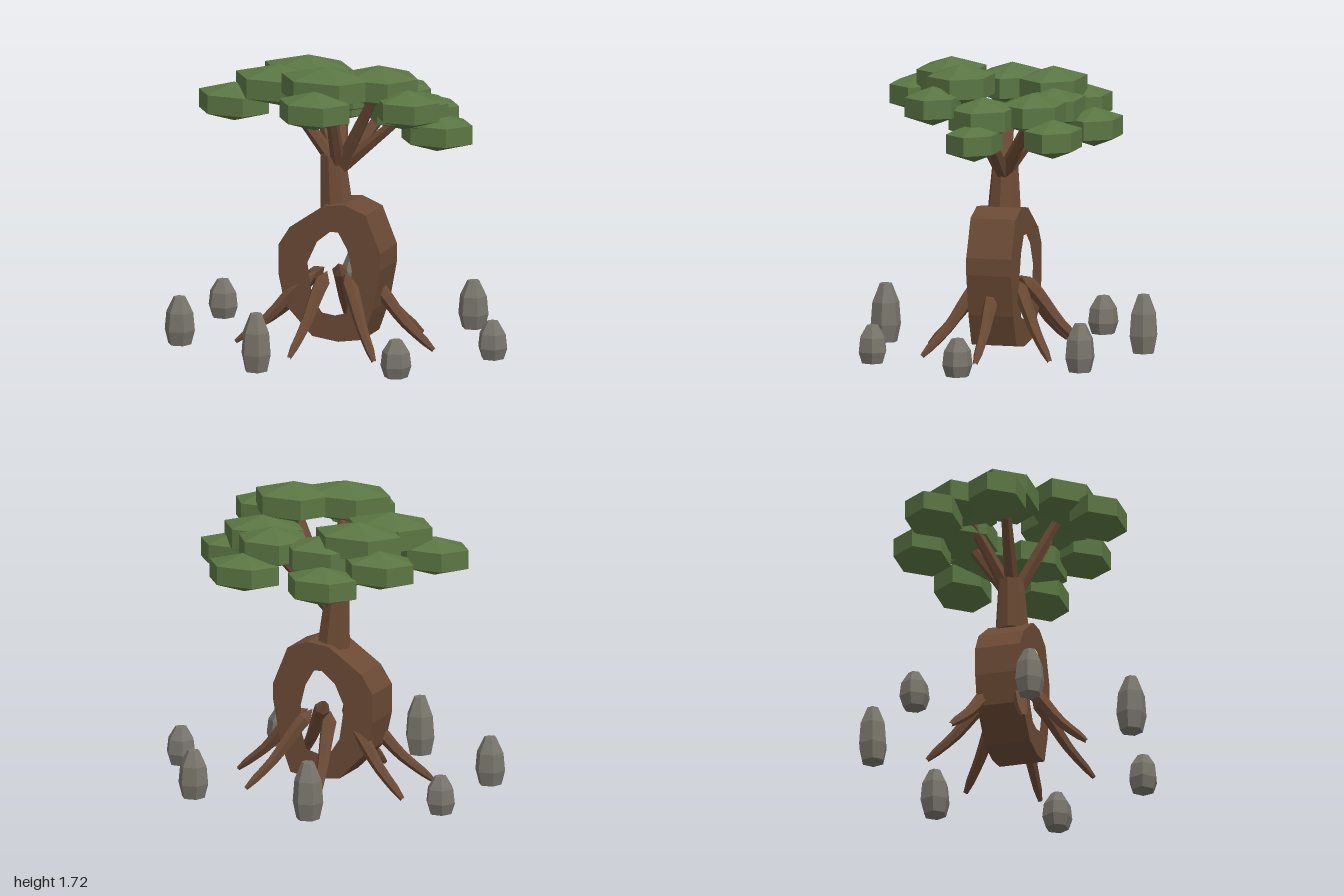
import * as THREE from 'three';

const mat = (name, color) => {
  const m = new THREE.MeshStandardMaterial({ color, flatShading: true });
  m.name = name;
  return m;
};
const V = (x, y, z) => new THREE.Vector3(x, y, z);
const P = ([x, y]) => new THREE.Vector2(x, y);

export function createModel() {
  const bark = mat('bark', 0x6b4a35);
  const leaf = mat('leaf', 0x5a7643);
  const stone = mat('stone', 0x78756b);
  const model = new THREE.Group();
  model.name = 'archTree';

  const add = (name, geo, material) => {
    const m = new THREE.Mesh(geo, material);
    m.name = name;
    model.add(m);
    return m;
  };

  // straight tapered limb between two points
  const limb = (name, a, b, ra, rb, sides) => {
    const d = b.clone().sub(a);
    const m = add(name, new THREE.CylinderGeometry(rb, ra, d.length(), sides), bark);
    m.position.copy(a).add(b).multiplyScalar(0.5);
    m.quaternion.setFromUnitVectors(V(0, 1, 0), d.normalize());
  };

  // curved tapered limb, closed at both ends
  const curvedLimb = (name, pts, r0, r1) => {
    const n = 8, sides = 6;
    const curve = new THREE.CatmullRomCurve3(pts);
    const geo = new THREE.TubeGeometry(curve, n, 1, sides);
    const pos = geo.attributes.position, v = V(0, 0, 0);
    for (let i = 0; i <= n; i++) {
      const end = i === 0 || i === n;
      const centre = curve.getPointAt(i / n);
      const r = r0 + (r1 - r0) * i / n;
      const rim = i === 0 ? 0 : r;
      for (let j = 0; j <= sides; j++) {
        const k = i * (sides + 1) + j;
        v.fromBufferAttribute(pos, k).sub(centre).multiplyScalar(end ? rim * 0.6 : r).add(centre);
        pos.setXYZ(k, v.x, Math.max(v.y, 0), v.z);
      }
    }
    geo.computeVertexNormals();
    add(name, geo, bark);
  };

  // hollow trunk: a thick irregular ring
  const ring = new THREE.Shape([
    [-0.09, 0.845], [0.045, 0.86], [0.17, 0.81], [0.26, 0.59], [0.26, 0.49], [0.215, 0.25], [0.15, 0.07],
    [0, 0.045], [-0.16, 0.065], [-0.33, 0.24], [-0.37, 0.42], [-0.37, 0.59], [-0.30, 0.70],
  ].map(P));
  ring.holes.push(new THREE.Path([
    [-0.05, 0.695], [0, 0.695], [0.055, 0.60], [0.085, 0.48], [0.08, 0.32], [0.05, 0.22],
    [-0.02, 0.20], [-0.10, 0.21], [-0.16, 0.30], [-0.19, 0.50], [-0.13, 0.63],
  ].map(P)));
  const ringGeo = new THREE.ExtrudeGeometry(ring, { depth: 0.27, bevelEnabled: false });
  ringGeo.translate(0, 0, -0.135);
  add('hollowTrunk', ringGeo, bark);

  // upper trunk
  limb('upperTrunk', V(-0.062, 0.82, 0), V(-0.085, 1.13, 0), 0.1, 0.075, 8);

  // roots, mirrored front to back: start and tip
  const roots = [
    [[0.10, 0.42, 0], [0.54, 0, 0]],
    [[0.03, 0.45, 0.09], [0.32, 0, 0.385]],
    [[-0.085, 0.45, 0.09], [-0.17, 0, 0.48]],
    [[-0.16, 0.43, 0.06], [-0.60, 0, 0.22]],
  ];
  for (const [s, t] of roots) {
    for (const side of s[2] ? [1, -1] : [1]) {
      const at = (k, y) => V(s[0] + (t[0] - s[0]) * k, y, side * (s[2] + (t[2] - s[2]) * k));
      curvedLimb('root', [at(0, s[1]), at(0.25, 0.34), at(0.58, 0.17), at(0.9, 0.05), at(1, 0.012)], 0.05, 0.022);
    }
  }

  // foliage: flat six-sided pads; [x, y, z, half width, half depth]
  const padGeo = new THREE.LatheGeometry([[0, -1], [1, -0.48], [1, 0.48], [0, 1]].map(P), 6, Math.PI / 2);
  const pad = (name, [x, y, z, rx, rz], h) => {
    const m = add(name, padGeo, leaf);
    m.position.set(x, y, z);
    m.scale.set(rx, h, rz / 0.866);
  };
  const bigPads = [
    [-0.005, 1.6, 0.30, 0.28, 0.17],
    [0.265, 1.6, 0.165, 0.24, 0.17],
    [0.38, 1.43, 0, 0.25, 0.17],
    [0.205, 1.44, -0.25, 0.22, 0.165],
    [-0.12, 1.43, -0.27, 0.24, 0.165],
    [-0.32, 1.52, -0.22, 0.27, 0.165],
    [-0.40, 1.52, 0.05, 0.265, 0.17],
  ];
  const smallPads = [
    [-0.005, 1.505, 0.50, 0.217, 0.142],
    [0.485, 1.505, 0.27, 0.195, 0.142],
    [0.56, 1.315, 0, 0.22, 0.137],
    [0.32, 1.315, -0.403, 0.22, 0.142],
    [-0.215, 1.315, -0.495, 0.217, 0.142],
    [-0.51, 1.405, -0.345, 0.217, 0.142],
    [-0.665, 1.405, 0.08, 0.217, 0.142],
  ];
  bigPads.forEach((p) => pad('largeFoliagePad', p, 0.122));
  smallPads.forEach((p) => pad('smallFoliagePad', p, 0.115));

  // branches reach from the trunk top to each large pad
  for (const [x, y, z] of bigPads) {
    limb('branch', V(-0.045, 1.04, 0), V(x * 0.95, y - 0.03, z * 0.95), 0.045, 0.028, 6);
  }

  // ring of standing stones: [x, z, height]
  const stones = [
    [0.905, 0, 0.22], [0.54, -0.63, 0.28], [-0.255, -0.78, 0.34], [-0.90, -0.35, 0.22],
    [-0.90, 0.34, 0.28], [0.545, 0.615, 0.22], [-0.26, 0.77, 0.34],
  ];
  const stoneGeo = new THREE.LatheGeometry(
    [[0, 0], [0.068, 0], [0.09, 0.3], [0.08, 0.68], [0.036, 1], [0, 1]].map(P), 6, Math.PI / 2);
  stones.forEach(([x, z, h], i) => {
    const m = add('standingStone', stoneGeo, stone);
    m.position.set(x, 0, z);
    m.scale.y = h;
    m.rotation.y = 0.12 * (i % 3);
  });

  return model;
}
